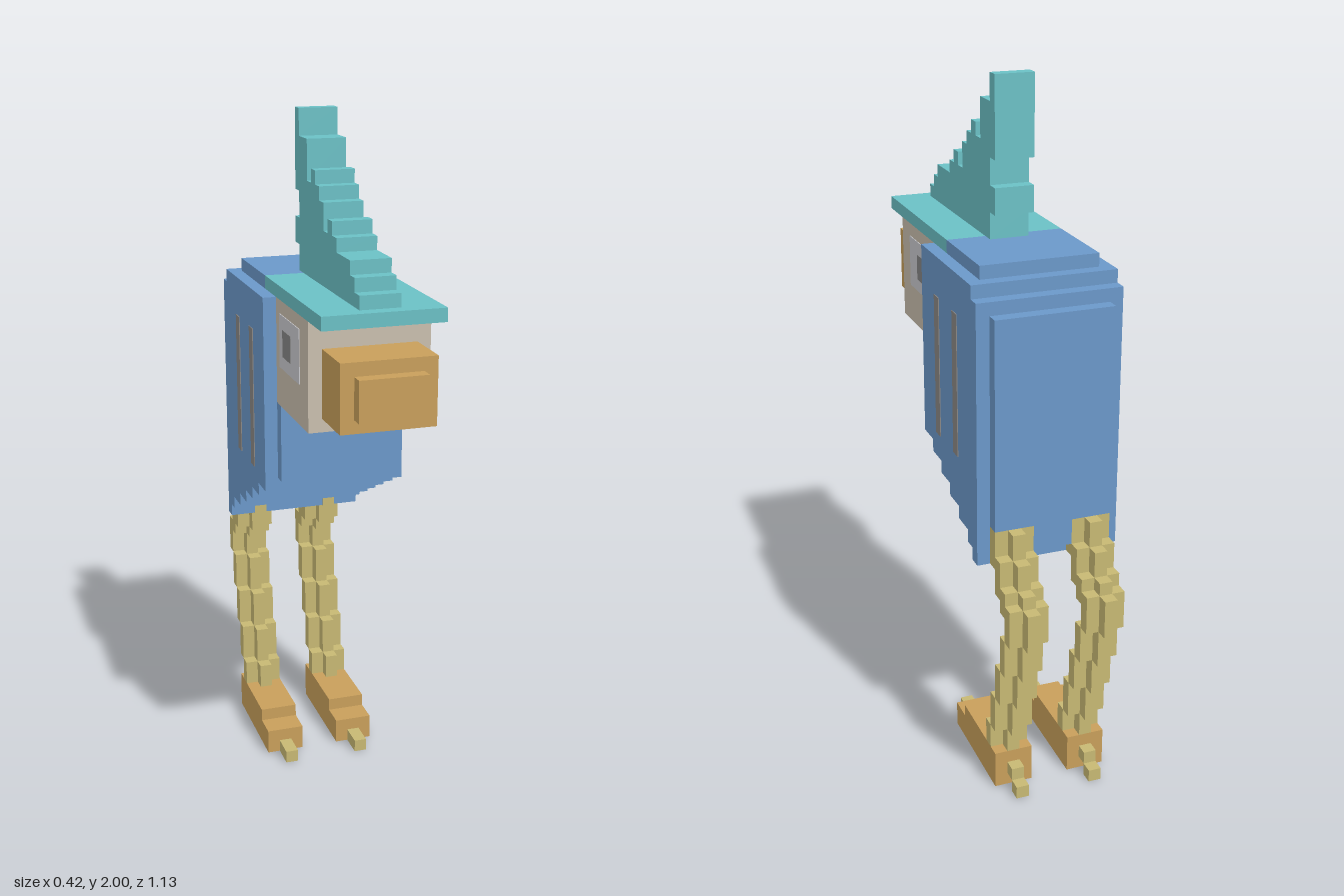
import * as THREE from 'three';

// One grid cell; the model is 53 cells tall.
const U = 2 / 53;

const mat = (name, color) => {
  const m = new THREE.MeshStandardMaterial({ color });
  m.name = name;
  return m;
};

// Box from min/max cell coordinates.
function box(parent, name, material, x0, x1, y0, y1, z0, z1) {
  const g = new THREE.BoxGeometry((x1 - x0) * U, (y1 - y0) * U, (z1 - z0) * U);
  const mesh = new THREE.Mesh(g, material);
  mesh.name = name;
  mesh.position.set((x0 + x1) * U / 2, (y0 + y1) * U / 2, (z0 + z1) * U / 2);
  parent.add(mesh);
  return mesh;
}

// Side outline of [z, y] cells, extruded across x and centred.
function profile(parent, name, material, points, width) {
  const shape = new THREE.Shape(points.map(([z, y]) => new THREE.Vector2(z * U, y * U)));
  const g = new THREE.ExtrudeGeometry(shape, { depth: width * U, bevelEnabled: false });
  g.translate(0, 0, -width * U / 2).rotateY(-Math.PI / 2);
  const mesh = new THREE.Mesh(g, material);
  mesh.name = name;
  parent.add(mesh);
}

export function createModel() {
  const blue = mat('blue plumage', 0x6b98c9);
  const teal = mat('teal crest', 0x6bc0c5);
  const beige = mat('beige face', 0xc9bfae);
  const orange = mat('orange beak and feet', 0xc89f5b);
  const olive = mat('olive legs', 0xc7b873);
  const eyeGrey = mat('pale eye', 0xcacace);
  const pupilGrey = mat('grey pupil', 0x858585);
  const stripeGrey = mat('grey stripe', 0x8b8886);

  const model = new THREE.Group();
  model.name = 'bird';

  // Body: stepped underside, rounded off with inset plates
  const body = new THREE.Group();
  body.name = 'body';
  model.add(body);
  profile(body, 'torso', blue, [
    [2, 40], [-9, 40], [-9, 39], [-10, 39], [-10, 19], [-9, 19], [-9, 20], [-8, 20], [-8, 21],
    [-6, 21], [-6, 22], [-4, 22], [-4, 23], [-2, 23], [-2, 24], [0, 24], [0, 25], [2, 25],
  ], 11);
  box(body, 'backTop', blue, -4.5, 4.5, 40, 41, -8, -1);
  box(body, 'chestPlate', blue, -4.5, 4.5, 26, 32, 2, 3);
  box(body, 'backPlate', blue, -4.5, 4.5, 22, 38, -11, -10);
  box(body, 'backPlateLower', blue, -1.5, 1.5, 20, 22, -11, -10);

  // Head and beak
  const head = new THREE.Group();
  head.name = 'head';
  model.add(head);
  box(head, 'face', beige, -4.5, 4.5, 32, 40, 2, 10);
  box(head, 'beak', orange, -3.5, 3.5, 33, 38, 10, 14);
  box(head, 'beakTip', orange, -2.5, 2.5, 34, 37, 14, 15);

  // Crest: flat cap with a jagged fin
  box(head, 'cap', teal, -4.5, 4.5, 40, 41, -1, 13);
  profile(head, 'crestFin', teal, [
    [12, 41], [12, 42], [11, 42], [11, 43], [10, 43], [10, 44], [7, 44], [7, 45], [6, 45], [6, 46],
    [5, 46], [5, 45], [4, 45], [4, 47], [3, 47], [3, 48], [2, 48], [2, 49], [1, 49], [1, 48],
    [0, 48], [0, 51], [-2, 51], [-2, 53], [-3, 53], [-3, 47], [-2, 47], [-2, 45], [-3, 45],
    [-3, 43], [-2, 43], [-2, 41],
  ], 3);

  // Leg segments from foot to hip: [bottom, top, back z], each plus-shaped
  const segments = [
    [3, 5, -11], [5, 8, -12], [8, 11, -13], [11, 14, -14],
    [14, 17, -15], [16, 18, -14], [17, 20, -13], [19, 22, -12],
  ];

  for (const side of [1, -1]) {
    const label = side > 0 ? 'left' : 'right';

    // Painted eye and wing stripes
    const plate = (parent, name, m, x, t, y0, y1, z0, z1) =>
      box(parent, name, m, side * x - t, side * x + t, y0, y1, z0, z1);
    plate(head, label + 'Eye', eyeGrey, 4.5, 0.06, 35, 39, 3, 8);
    plate(head, label + 'Pupil', pupilGrey, 4.5, 0.12, 36, 38, 4, 6);
    for (const z of [-2, -6]) plate(body, label + 'Stripe', stripeGrey, 5.5, 0.06, 26, 37, z, z + 1);

    // Leg
    const leg = new THREE.Group();
    leg.name = label + 'Leg';
    leg.position.x = side * 3 * U;
    model.add(leg);
    for (const [y0, y1, z] of segments) {
      box(leg, 'legSegment', olive, -0.5, 0.5, y0, y1, z, z + 3);
      box(leg, 'legSegmentSides', olive, -1.5, 1.5, y0, y1, z + 1, z + 2);
    }
    box(leg, 'hipPatch', olive, -0.5, 0.5, 18.94, 20, -10, -8.94);

    // Foot with front and back claws
    box(leg, 'foot', orange, -1.5, 1.5, 0, 3, -11, -4);
    box(leg, 'toe', orange, -1.5, 1.5, 0, 2, -4, -2);
    box(leg, 'frontClaw', olive, -0.5, 0.5, 0, 1, -2, 0);
    box(leg, 'heelSpur', olive, -0.5, 0.5, 1, 2, -12, -11);
    box(leg, 'backClaw', olive, -0.5, 0.5, 0, 1, -13, -12);
  }
  return model;
}
